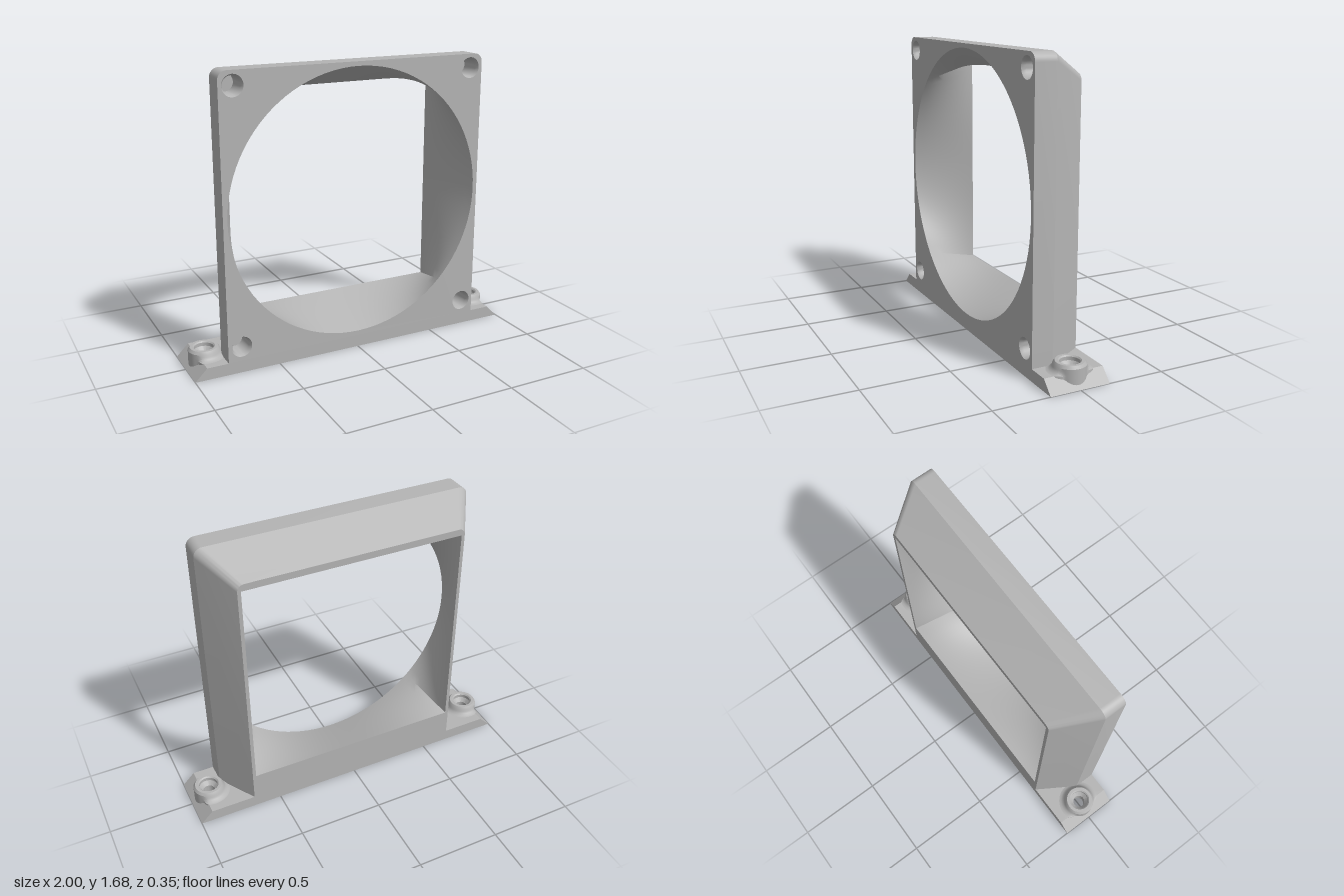
import * as THREE from 'three';
import { toCreasedNormals } from 'three/addons/utils/BufferGeometryUtils.js';

const CREASE = 0.5;
const FRONT = 0.175, MID = 0.05, BACK = -0.175; // depth stations
const BASE_H = 0.07;
const V3 = THREE.Vector3;

// Skin closed rings of points; rings running towards +z face outward
function loft(rings) {
  const n = rings[0].length, pos = [], index = [];
  rings.forEach(r => r.forEach(p => pos.push(p.x, p.y, p.z)));
  for (let j = 0; j < rings.length - 1; j++) {
    for (let i = 0; i < n; i++) {
      const a = j * n + i, b = j * n + (i + 1) % n;
      index.push(a, b, b + n, a, b + n, a + n);
    }
  }
  const g = new THREE.BufferGeometry();
  g.setAttribute('position', new THREE.Float32BufferAttribute(pos, 3));
  g.setIndex(index);
  return toCreasedNormals(g, CREASE);
}

// Counter-clockwise housing outline: square below, rounded top corners
function outline(w, top, r) {
  const pts = [new THREE.Vector2(-w, BASE_H), new THREE.Vector2(w, BASE_H)];
  for (const side of [1, -1]) {
    for (let i = 0; i <= 8; i++) {
      const t = (side > 0 ? 0 : Math.PI / 2) + i / 8 * Math.PI / 2;
      pts.push(new THREE.Vector2(side * (w - r) + r * Math.cos(t), top - r + r * Math.sin(t)));
    }
  }
  return pts;
}
const atZ = (pts, z) => pts.map(p => new V3(p.x, p.y, z));

function circle(x, y, r, n) {
  return Array.from({ length: n }, (_, i) => {
    const t = -3 * Math.PI / 4 + i / n * Math.PI * 2;
    return new THREE.Vector2(x + r * Math.cos(t), y + r * Math.sin(t));
  });
}

function faceWithHoles(outer, holes) {
  const s = new THREE.Shape(outer);
  holes.forEach(h => s.holes.push(new THREE.Path(h)));
  return new THREE.ShapeGeometry(s);
}

export function createModel() {
  const group = new THREE.Group();
  const grey = new THREE.MeshStandardMaterial({ color: 0xb4b4b4 });
  grey.name = 'grey plastic';
  const add = (name, geometry) => {
    const m = new THREE.Mesh(geometry, grey);
    m.name = name;
    group.add(m);
    return m;
  };

  // Housing walls, narrowing towards the back
  const big = outline(0.805, 1.685, 0.05), small = outline(0.665, 1.56, 0.04);
  add('housingWalls', loft([atZ(small, BACK), atZ(big, MID), atZ(big, FRONT)]));

  // Duct blending from a round front opening to a rectangular back opening
  const N = 96, round = circle(0, 0.88, 0.78, N);
  const corners = [[-0.645, 0.235], [0.645, 0.235], [0.645, 1.52], [-0.645, 1.52]]
    .map(c => new THREE.Vector2(...c));
  const square = round.map((_, i) => {
    const k = Math.floor(i / (N / 4));
    return corners[k].clone().lerp(corners[(k + 1) % 4], (i % (N / 4)) / (N / 4));
  });
  const ductRings = [];
  for (let j = 0; j <= 8; j++) {
    const t = j / 8;
    ductRings.push(round.map((p, i) => {
      const q = p.clone().lerp(square[i], t);
      return new V3(q.x, q.y, FRONT + (BACK - FRONT) * t);
    }));
  }
  add('duct', loft(ductRings));

  // Front plate and the rim round the back opening
  const wells = [];
  for (const x of [-0.725, 0.725]) for (const y of [0.155, 1.605]) wells.push([x, y]);
  const frontHoles = wells.map(([x, y]) => circle(x, y, 0.06, 32));
  add('frontPlate', faceWithHoles(big, [round, ...frontHoles])).position.z = FRONT;
  const rim = add('backRim', faceWithHoles(small, [corners]));
  rim.rotation.y = Math.PI;
  rim.position.z = BACK;

  // Blind screw holes in the front corners
  const wellProfile = [[0.06, 0], [0.05, -0.02], [0.05, -0.13], [0, -0.13]]
    .map(p => new THREE.Vector2(...p));
  const wellGeo = toCreasedNormals(new THREE.LatheGeometry(wellProfile, 32).rotateX(Math.PI / 2), CREASE);
  wells.forEach(([x, y]) => add('screwHole', wellGeo).position.set(x, y, FRONT));

  // Base strip with bevelled ends and two bolt holes
  const plan = new THREE.Shape([[-1, -0.175], [1, -0.175], [1, 0.175], [-1, 0.175]]
    .map(p => new THREE.Vector2(...p)));
  for (const x of [-0.89, 0.89]) plan.holes.push(new THREE.Path(circle(x, 0, 0.035, 32)));
  const base = new THREE.ExtrudeGeometry(plan, { depth: BASE_H, bevelEnabled: false });
  base.rotateX(-Math.PI / 2);
  const bp = base.attributes.position;
  for (let i = 0; i < bp.count; i++) {
    if (bp.getY(i) > 0.05 && Math.abs(bp.getX(i)) > 0.99) bp.setX(i, Math.sign(bp.getX(i)) * 0.93);
  }
  add('base', toCreasedNormals(base, CREASE));

  // Bolt bosses: filleted foot that fades out over the bevelled end
  const bossProfile = [
    [0.125, 0.02], [0.125, 0.07], [0.113, 0.073], [0.101, 0.082], [0.093, 0.094], [0.09, 0.106],
    [0.079, 0.122], [0.062, 0.122], [0.055, 0.115], [0.055, 0.095], [0.035, 0.07], [0.035, 0.02],
  ].map(p => new THREE.Vector2(...p));
  const boss = new THREE.LatheGeometry(bossProfile, 48);
  const p = boss.attributes.position;
  for (let i = 0; i < p.count; i++) {
    const r = Math.hypot(p.getX(i), p.getZ(i));
    if (r <= 0.09) continue;
    const keep = 1 - THREE.MathUtils.smoothstep(p.getX(i) / r, 0.3, 0.7);
    const s = (0.09 + (r - 0.09) * keep) / r;
    p.setX(i, p.getX(i) * s);
    p.setZ(i, p.getZ(i) * s);
  }
  const bossGeo = toCreasedNormals(boss, CREASE);
  add('leftBoss', bossGeo).position.x = 0.89;
  const right = add('rightBoss', bossGeo);
  right.position.x = -0.89;
  right.rotation.y = Math.PI;

  return group;
}
